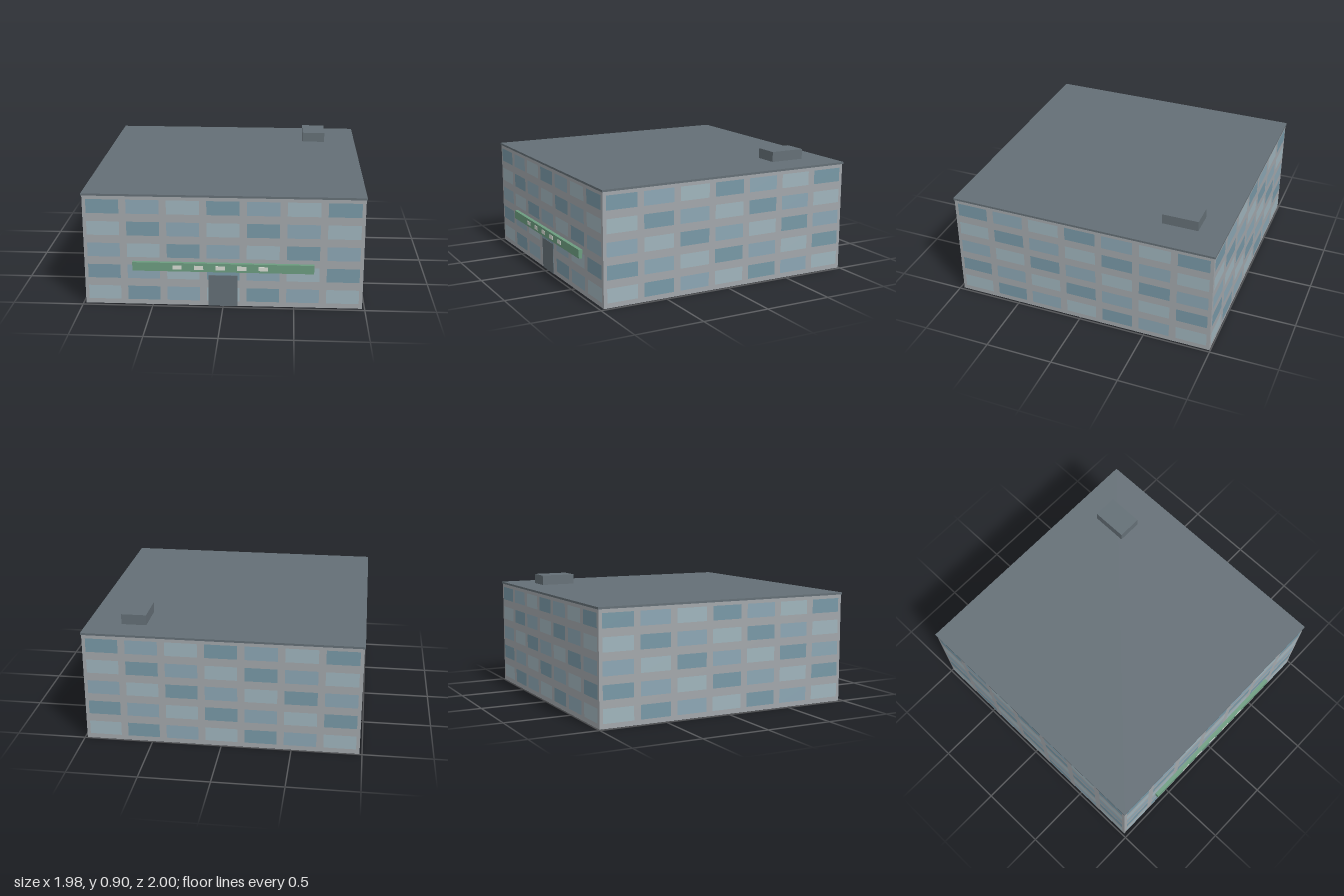
import * as THREE from 'three';

const mat = (color, extra = {}) => new THREE.MeshStandardMaterial({ color, ...extra });

export function createModel() {
  const model = new THREE.Group();
  model.name = 'officeBuilding';

  const wall = mat(0xa2a7ab), roofGrey = mat(0x646f76), green = mat(0x6c9c80), pale = mat(0xd6dbd3);
  const glass = [mat(0x9fb4bc), mat(0x7898a6), mat(0x8ca6b4)]; // light, dark, medium

  // Box given by its limits on each axis
  function box(name, material, [x0, x1], [y0, y1], [z0, z1], parent = model) {
    const mesh = new THREE.Mesh(new THREE.BoxGeometry(x1 - x0, y1 - y0, z1 - z0), material);
    mesh.position.set((x0 + x1) / 2, (y0 + y1) / 2, (z0 + z1) / 2);
    mesh.name = name;
    parent.add(mesh);
    return mesh;
  }

  // Main block and flat roof with a slight overhang
  const half = 0.982, midZ = -0.0115;
  box('walls', wall, [-half, half], [0, 0.806], [midZ - half, midZ + half]);
  box('roofSlab', roofGrey, [-0.988, 0.988], [0.806, 0.821], [-1, 0.976]);
  box('roofUnit', roofGrey, [0.56, 0.74], [0.821, 0.896], [-0.8, -0.535]);

  // Window grid on all four sides, tones stepping diagonally
  const columns = 7, floors = 5, pitchX = (2 * half) / columns, pitchY = 0.1605;
  const pane = new THREE.PlaneGeometry(0.23, 0.102);
  ['front', 'right', 'back', 'left'].forEach((side, s) => {
    const facade = new THREE.Group();
    facade.name = side + 'Windows';
    facade.position.z = midZ;
    facade.rotation.y = (s * Math.PI) / 2;
    for (let floor = 0; floor < floors; floor++) {
      for (let col = 0; col < columns; col++) {
        const win = new THREE.Mesh(pane, glass[(col + floor) % 3]);
        win.name = 'window';
        win.position.set((col - 3) * pitchX, 0.087 + floor * pitchY, half + 0.0015);
        facade.add(win);
      }
    }
    model.add(facade);
  });

  // Entrance door
  box('door', roofGrey, [-0.103, 0.103], [0, 0.232], [0.96, 0.975]);

  // Green fascia board over the entrance with a row of pale plates
  const fascia = new THREE.Group();
  fascia.name = 'fascia';
  model.add(fascia);
  box('fasciaBoard', green, [-0.638, 0.638], [0.265, 0.328], [0.968, 0.998], fascia);
  for (let i = 0; i < 5; i++) {
    const x = -0.322 + i * 0.1515;
    box('fasciaPlate', pale, [x - 0.033, x + 0.033], [0.281, 0.311], [0.99, 1], fascia);
  }

  return model;
}
